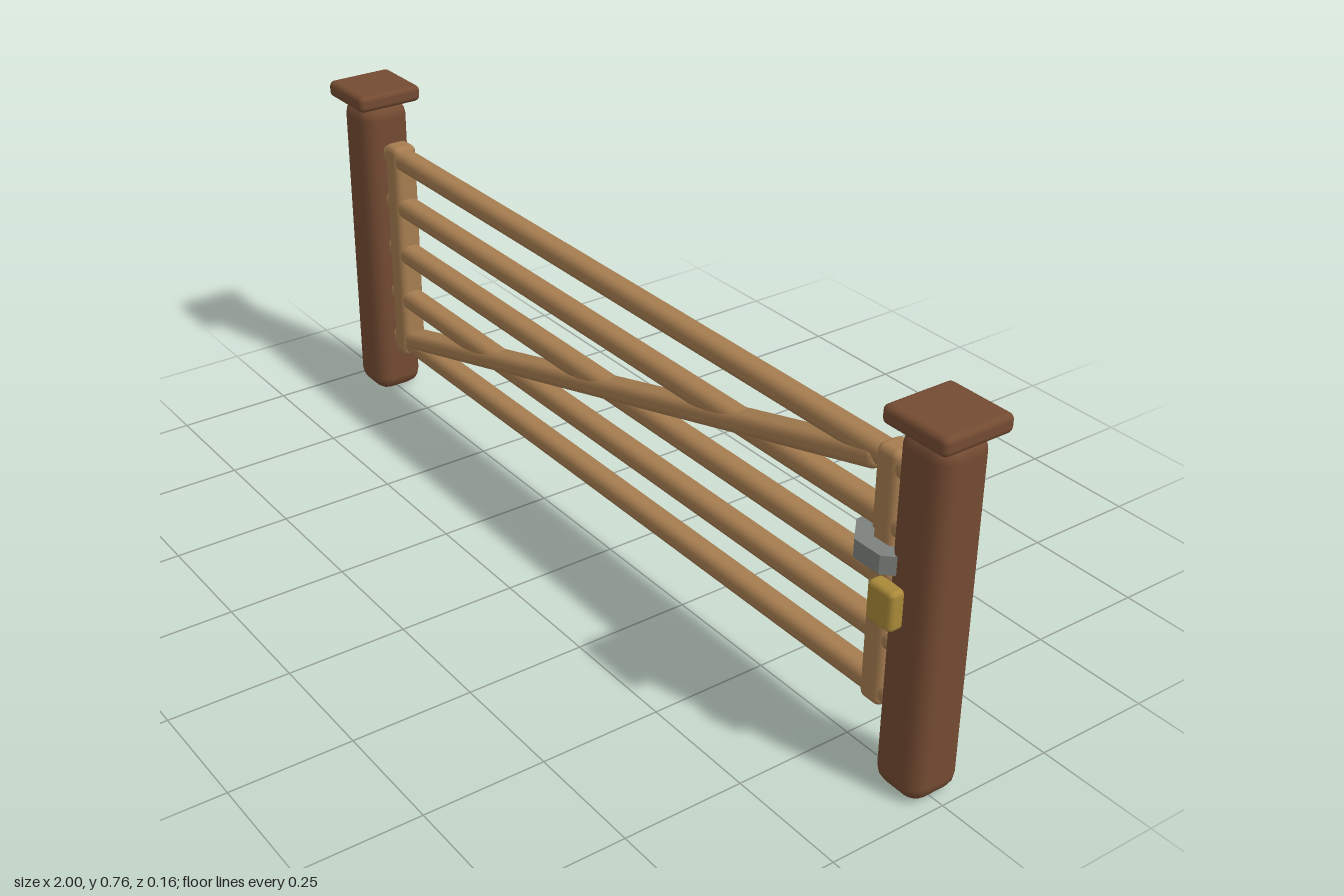
import * as THREE from 'three';
import { RoundedBoxGeometry } from 'three/addons/geometries/RoundedBoxGeometry.js';

const material = (name, color) => {
  const m = new THREE.MeshStandardMaterial({ color });
  m.name = name;
  return m;
};

export function createModel() {
  const gate = new THREE.Group();
  gate.name = 'fieldGate';
  const darkWood = material('darkWood', 0x744b32);
  const paleWood = material('paleWood', 0xa67d50);
  const iron = material('iron', 0x7d827e);
  const brass = material('brass', 0xa98939);
  const Z = -0.004; // centre plane of posts and gate

  function block(name, mat, size, pos, radius, segments = 2) {
    const mesh = new THREE.Mesh(new RoundedBoxGeometry(...size, segments, radius), mat);
    mesh.name = name;
    mesh.position.set(...pos);
    gate.add(mesh);
    return mesh;
  }

  // Posts with caps, and the gate's upright stiles
  for (const [side, label] of [[-1, 'right'], [1, 'left']]) {
    block(label + 'Post', darkWood, [0.115, 0.72, 0.116], [side * 0.925, 0.36, Z], 0.034);
    block(label + 'PostCap', darkWood, [0.15, 0.037, 0.154], [side * 0.925, 0.737, Z], 0.012);
    block(label + 'Stile', paleWood, [0.054, 0.52, 0.056], [side * 0.82, 0.382, Z], 0.014);
  }

  // Five horizontal rails, ends poking through the stiles
  for (let i = 0; i < 5; i++) {
    block('rail' + (i + 1), paleWood, [1.736, 0.045, 0.05], [0, 0.152 + i * 0.1147, Z], 0.018);
  }

  // Diagonal brace
  const a = new THREE.Vector2(-0.8, 0.163), b = new THREE.Vector2(0.79, 0.602);
  const brace = block('brace', paleWood, [a.distanceTo(b), 0.04, 0.058],
    [(a.x + b.x) / 2, (a.y + b.y) / 2, Z], 0.016);
  brace.rotation.z = Math.atan2(b.y - a.y, b.x - a.x);

  // Eight-sided latch ring joining stile and post
  const octagon = (path, apothem) => {
    const r = apothem / Math.cos(Math.PI / 8);
    const points = [];
    for (let i = 0; i < 8; i++) {
      const t = (i + 0.5) * Math.PI / 4;
      points.push(new THREE.Vector2(r * Math.cos(t), r * Math.sin(t)));
    }
    return path.setFromPoints(points);
  };
  const ringShape = octagon(new THREE.Shape(), 0.077);
  ringShape.holes.push(octagon(new THREE.Path(), 0.045));
  const ringGeometry = new THREE.ExtrudeGeometry(ringShape, { depth: 0.037, bevelEnabled: false });
  ringGeometry.rotateX(-Math.PI / 2);
  const ring = new THREE.Mesh(ringGeometry, iron);
  ring.name = 'latchRing';
  ring.position.set(0.842, 0.441, Z);
  gate.add(ring);

  // Padlock body on the front of the post
  block('padlock', brass, [0.064, 0.08, 0.034], [0.887, 0.386, 0.065], 0.01);

  return gate;
}
